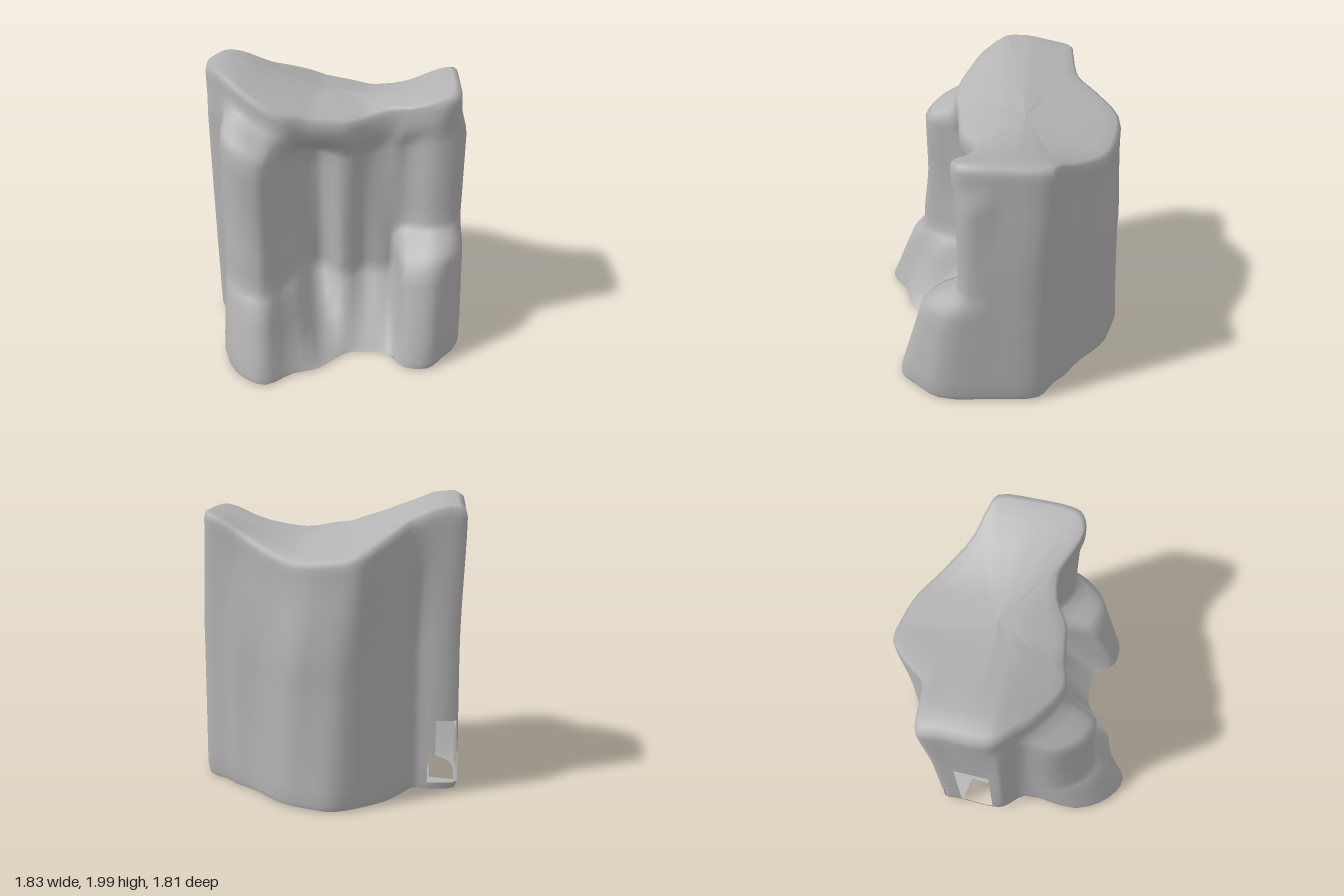
import * as THREE from 'three';

// Plan outlines [x, z], counter-clockwise from the right side's front strip
const base = [
  [-.9, -.05], [-.87, .04], [-.75, .18], [-.75, .6], [-.6, .84], [-.42, .92],
  [-.24, .78], [-.05, .71], [.05, .6], [.13, .52], [.28, .5], [.42, .51],
  [.53, .64], [.7, .64], [.8, .52], [.91, .34], [.89, -.05], [.84, -.37],
  [.71, -.46], [.57, -.57], [.36, -.73], [.13, -.88], [-.05, -.91], [-.25, -.86],
  [-.43, -.71], [-.55, -.56], [-.61, -.48], [-.75, -.48], [-.9, -.44], [-.9, -.3],
];
const middle = [
  [-.88, -.05], [-.88, .05], [-.76, .15], [-.74, .36], [-.6, .54], [-.43, .57],
  [-.35, .38], [-.25, .15], [-.09, .08], [.08, .18], [.23, .09], [.38, .11],
  [.5, .1], [.66, .19], [.81, .17], [.87, .1], [.87, -.1], [.83, -.37],
  [.7, -.46], [.55, -.55], [.35, -.68], [.13, -.83], [-.05, -.86], [-.25, -.82],
  [-.42, -.7], [-.55, -.56], [-.6, -.46], [-.75, -.47], [-.88, -.44], [-.88, -.3],
];
const crown = [
  [-.9, -.05], [-.87, .03], [-.77, .12], [-.68, .2], [-.58, .26], [-.45, .32],
  [-.33, .34], [-.2, .3], [-.03, .27], [.1, .24], [.24, .15], [.4, .12],
  [.52, .16], [.7, .22], [.8, .18], [.83, .1], [.83, -.15], [.8, -.4],
  [.7, -.45], [.54, -.5], [.3, -.65], [.1, -.77], [-.1, -.82], [-.28, -.82],
  [-.45, -.66], [-.55, -.53], [-.63, -.5], [-.76, -.48], [-.9, -.45], [-.9, -.3],
];
const COUNT = base.length, STEP = 3, N = COUNT * STEP;
const { lerp, smoothstep, clamp } = THREE.MathUtils;

function sampleOutline(points) {
  const curve = new THREE.CatmullRomCurve3(
    points.map(([x, z]) => new THREE.Vector3(x, 0, z)), true, 'centripetal');
  return Array.from({ length: N }, (_, i) => curve.getPoint(i / N));
}

// Saddle-shaped top: high at both sides, falling to front and back
const saddle = [[-.95, 1.97], [-.8, 2], [-.7, 1.98], [-.5, 1.9], [-.15, 1.78], [.2, 1.73], [.5, 1.79], [.8, 1.885], [1, 1.89]];
function topHeight(x, z) {
  let k = 0;
  while (k < saddle.length - 2 && x > saddle[k + 1][0]) k++;
  const [a, b] = [saddle[k], saddle[k + 1]];
  const y = lerp(a[1], b[1], clamp((x - a[0]) / (b[0] - a[0]), 0, 1));
  const fall = (z < 0 ? .22 : .26) * (1 - smoothstep(x, .35, .8));
  return y - fall * Math.max(0, Math.abs(z + .08) - .08);
}

// How far a wall point has moved from the foot outline to the middle outline
function wallRise(v, m) {
  if (m.z < 0) return Math.pow(Math.min(v / .5, 1), .65);
  // Front right buttress: gentle slope ending in a ledge
  if (m.x > .45) return .45 * Math.min(v / .41, 1) + .55 * smoothstep(v, .38, .49);
  // Front left column: stepped foot; recess: short sloping apron
  const column = .6 * Math.min(v / .27, 1) + .25 * smoothstep(v, .26, .32) + .15 * smoothstep(v, .32, .6);
  const apron = Math.pow(Math.min(v / .28, 1), .8);
  return lerp(column, apron, smoothstep(m.x, -.33, -.18));
}

function gridGeometry(rows, keep) {
  const position = [], index = [];
  rows.forEach(row => row.forEach(p => position.push(p.x, p.y, p.z)));
  for (let j = 0; j < rows.length - 1; j++) {
    for (let i = 0; i < N; i++) {
      if (!keep(i, j)) continue;
      const n = (i + 1) % N;
      const a = j * N + i, b = j * N + n, c = b + N, d = a + N;
      index.push(a, b, c, a, c, d);
    }
  }
  const geometry = new THREE.BufferGeometry();
  geometry.setAttribute('position', new THREE.Float32BufferAttribute(position, 3));
  geometry.setIndex(index);
  geometry.computeVertexNormals();
  return geometry;
}

export function createModel() {
  const group = new THREE.Group();
  group.name = 'rockFormation';
  const stone = new THREE.MeshStandardMaterial({ color: 0xb3b3b3, side: THREE.DoubleSide });
  stone.name = 'grey stone';
  const B = sampleOutline(base), M = sampleOutline(middle), T = sampleOutline(crown);

  // Walls: flared foot, recessed middle, overhanging lip at the front
  const levels = [.006, .03, .09, .14, .2, .26, .29, .32, .38, .41, .44, .47, .5, .57, .65, .75, .82, .85, .88, .91, .94, .965];
  const rows = levels.map(v => B.map((b, i) => {
    const m = M[i], t = T[i];
    const front = m.z > 0;
    const rise = wallRise(v, m);
    const lip = front ? smoothstep(v, .82, .93) : smoothstep(v, .55, .97);
    const p = b.clone().lerp(m, rise).lerp(t, lip);
    // Rounded vertical folds in the front recess and on the back
    if (front && m.x > -.32 && m.x < .45) {
      p.z += .015 * Math.sin(p.x * 24 + 3 * v) * rise * (1 - lip);
    } else if (m.z < -.5) {
      p.z += .012 * Math.sin(p.x * 17 + 2 * v) * (1 - lip);
    }
    const foot = 1 - .02 * (1 - smoothstep(v, 0, .04));
    p.x *= foot;
    p.z *= foot;
    p.y = v * topHeight(t.x, t.z);
    return p;
  }));

  // Crown: rounded rim and sagging top surface
  const hub = new THREE.Vector3(-.03, 0, -.18);
  for (const [scale, drop] of [[.985, .02], [.94, .003], [.8, 0], [.6, 0], [.4, 0], [.2, 0], [.001, 0]]) {
    rows.push(T.map(t => {
      const p = hub.clone().lerp(t, scale);
      p.y = topHeight(p.x, p.z) - drop;
      return p;
    }));
  }

  // Openings: a slit low on the right side and an arched hole at the rear corner
  const slit = (i, j) => i >= (COUNT - 1) * STEP && j >= 1 && j < 12;
  const rearHole = (i, j) => j >= 1 && j < 5 && i >= (j < 3 ? 80 : 81) && i <= (j < 3 ? 84 : 83);
  const wall = new THREE.Mesh(gridGeometry(rows, (i, j) => !slit(i, j) && !rearHole(i, j)), stone);
  wall.name = 'rockWallsAndTop';
  group.add(wall);

  // Flat underside, running outward from the hub so its faces point down
  const floorRows = [.001, .55, .8, 1].map(s => rows[0].map(p => {
    const q = hub.clone().lerp(p, s);
    q.y = lerp(.004, p.y, s);
    return q;
  }));
  const floorHole = (i, j) => j === 2 && (i < 2 * STEP || i >= N - STEP);
  const floor = new THREE.Mesh(gridGeometry(floorRows, (i, j) => !floorHole(i, j)), stone);
  floor.name = 'underside';
  group.add(floor);

  return group;
}
